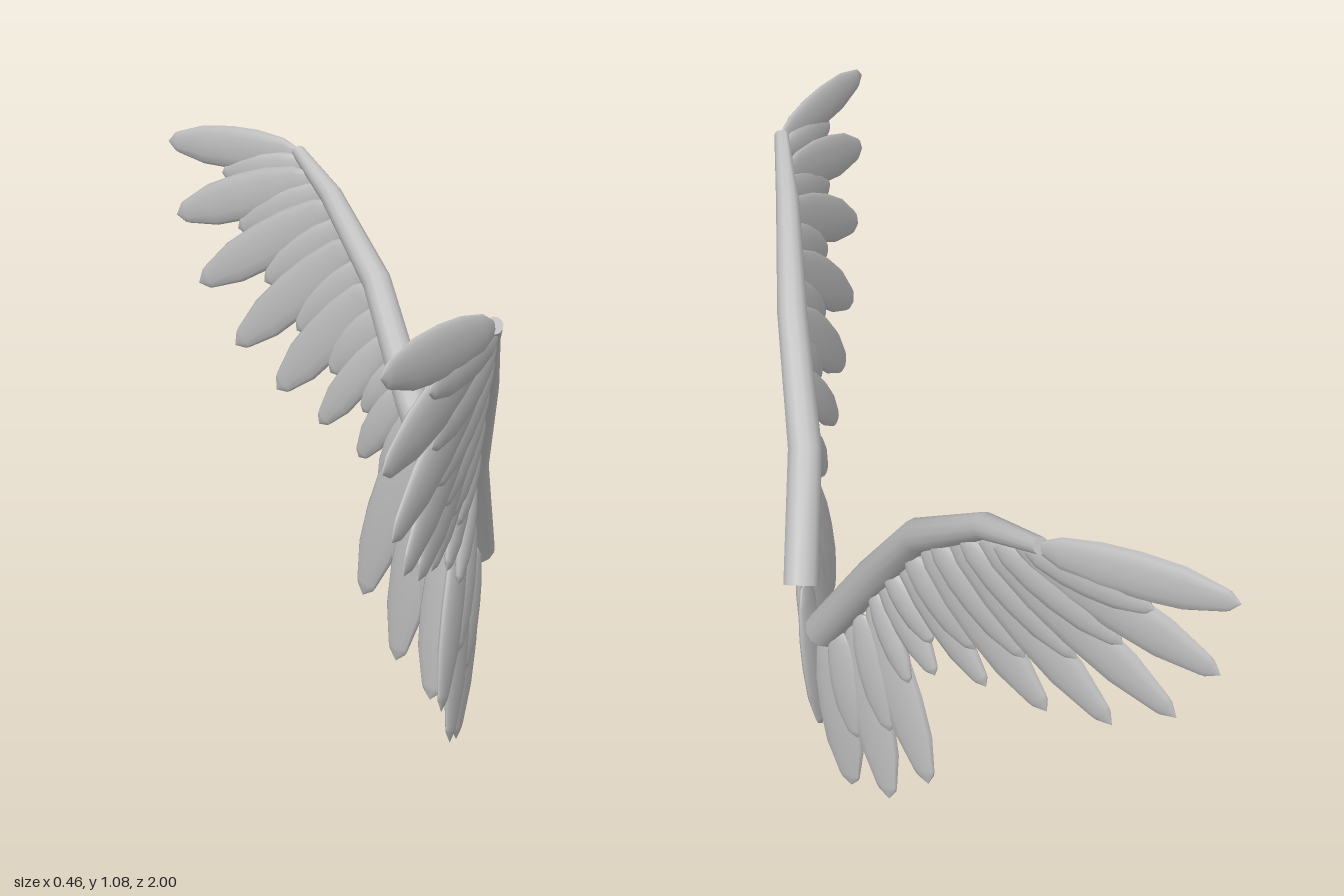
import * as THREE from 'three';
import { toCreasedNormals } from 'three/addons/utils/BufferGeometryUtils.js';

const V = (x, y, z) => new THREE.Vector3(x, y, z);

// Arm bone: x, y, z, radius from shoulder to wing tip
const BONE = [
  [0.195, 0.4, 0.076, 0.037],
  [0.138, 0.625, 0.225, 0.035],
  [0.108, 0.835, 0.4, 0.031],
  [0.056, 0.98, 0.6, 0.024],
  [0.02, 1.045, 0.765, 0.015],
];

// Long feathers: root and tip, from wing tip to shoulder
const FEATHERS = [
  [[0.018, 1.04, 0.765], [-0.23, 1.037, 1.0]],
  [[0.03, 1.0, 0.69], [-0.22, 0.873, 0.972]],
  [[0.06, 0.955, 0.6], [-0.185, 0.73, 0.895]],
  [[0.08, 0.895, 0.5], [-0.13, 0.617, 0.757]],
  [[0.1, 0.82, 0.41], [-0.066, 0.55, 0.613]],
  [[0.115, 0.73, 0.325], [-0.003, 0.51, 0.468]],
  [[0.13, 0.645, 0.25], [0.058, 0.465, 0.355]],
  [[0.132, 0.55, 0.21], [0.058, 0.165, 0.322]],
  [[0.152, 0.47, 0.155], [0.105, 0.05, 0.217]],
  [[0.187, 0.39, 0.086], [0.15, 0.003, 0.103]],
];

// Half-width of a feather along its unit length
const PROFILE = [[0, 0], [0.3, 0], [0.68, 0.1], [0.94, 0.3], [1, 0.5], [0.9, 0.72], [0.5, 0.92], [0.42, 0.945], [0, 1]]
  .map(([r, y]) => new THREE.Vector2(r, y));

function boneGeometry(side) {
  const pts = BONE.map(([x, y, z]) => V(x, y, z * side));
  const last = pts.length - 1;
  const geo = new THREE.CylinderGeometry(1, 1, 1, 12, last);
  const pos = geo.attributes.position;
  const frames = pts.map((p, i) => {
    const t = pts[Math.min(i + 1, last)].clone().sub(pts[Math.max(i - 1, 0)]).normalize();
    const w = V(1, 0, 0).cross(t).normalize();
    return { p, u: t.clone().cross(w), w, r: BONE[i][3] };
  });
  for (let i = 0; i < pos.count; i++) {
    const f = frames[Math.round((pos.getY(i) + 0.5) * last)];
    const v = f.p.clone()
      .addScaledVector(f.u, pos.getX(i) * f.r)
      .addScaledVector(f.w, pos.getZ(i) * f.r);
    pos.setXYZ(i, v.x, v.y, v.z);
  }
  return toCreasedNormals(geo, 0.8);
}

// Flat spindle from root to tip, facing across the wing
function featherGeometry(root, tip, width, offset, side) {
  const d = tip.clone().sub(root);
  const length = d.length();
  d.normalize();
  const n = V(0.8, 0, 0.6 * side);
  n.addScaledVector(d, -n.dot(d)).normalize();
  const w = d.clone().cross(n);
  const base = root.clone().addScaledVector(n, offset);
  const m = new THREE.Matrix4()
    .makeBasis(w.multiplyScalar(width / 2), d.multiplyScalar(length), n.multiplyScalar(0.014))
    .setPosition(base);
  return new THREE.LatheGeometry(PROFILE, 12).applyMatrix4(m);
}

export function createModel() {
  const model = new THREE.Group();
  model.name = 'wings';
  const grey = new THREE.MeshStandardMaterial({ color: 0xc0c0c0 });
  grey.name = 'light grey';

  for (const side of [1, -1]) {
    const wing = new THREE.Group();
    wing.name = side > 0 ? 'frontWing' : 'backWing';
    const add = (geo, name) => {
      const mesh = new THREE.Mesh(geo, grey);
      mesh.name = name;
      wing.add(mesh);
    };
    add(boneGeometry(side), 'armBone');

    const quills = FEATHERS.map(([a, b]) => [V(a[0], a[1], a[2] * side), V(b[0], b[1], b[2] * side)]);
    quills.forEach(([root, tip], i) => {
      const width = THREE.MathUtils.clamp(root.distanceTo(tip) * 0.28, 0.075, 0.104);
      add(featherGeometry(root, tip, width, 0, side), 'longFeather');
      // Short covert on the inner face, between neighbouring long feathers
      if (i === quills.length - 1) return;
      const [root2, tip2] = quills[i + 1];
      const r = root.clone().lerp(root2, 0.5);
      const t = r.clone().lerp(tip.clone().lerp(tip2, 0.5), 0.64);
      add(featherGeometry(r, t, width * 0.8, 0.012, side), 'shortFeather');
    });
    model.add(wing);
  }
  return model;
}
